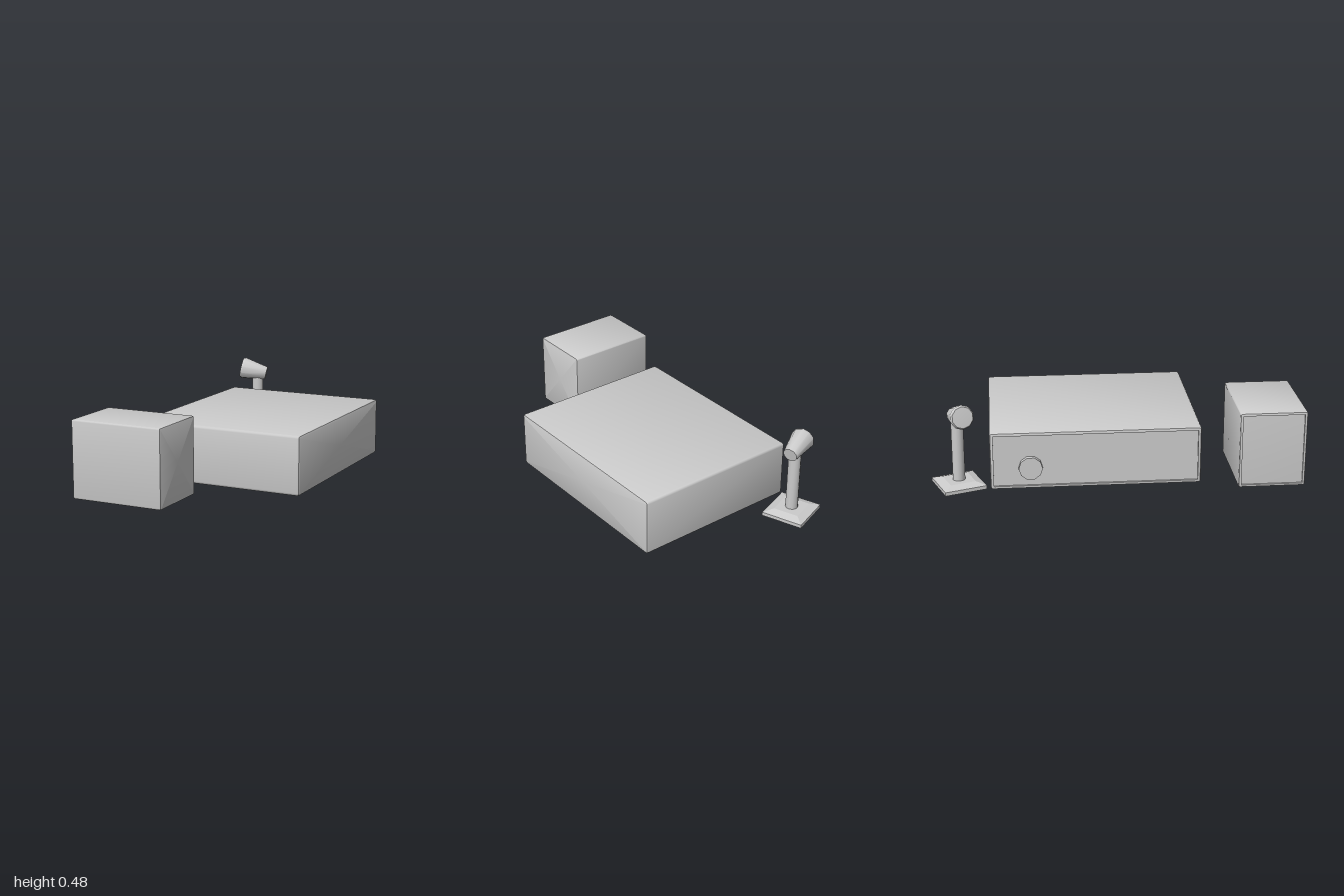
import * as THREE from 'three';
import { toCreasedNormals } from 'three/addons/utils/BufferGeometryUtils.js';

const material = new THREE.MeshStandardMaterial({ color: 0xcccccc });

function add(parent, geometry, name, x = 0, y = 0, z = 0) {
  const mesh = new THREE.Mesh(geometry, material);
  mesh.name = name;
  mesh.position.set(x, y, z);
  parent.add(mesh);
  return mesh;
}

// One rounded-rectangle loop in the y-z plane, counter-clockwise about +x
function roundedLoop(x, halfY, halfZ, radius) {
  const points = [];
  for (let corner = 0; corner < 4; corner++) {
    const sy = corner === 0 || corner === 3 ? 1 : -1;
    const sz = corner < 2 ? 1 : -1;
    for (let k = 0; k <= 3; k++) {
      const a = (corner + k / 3) * Math.PI / 2;
      points.push([
        x,
        sy * (halfY - radius) + radius * Math.cos(a),
        sz * (halfZ - radius) + radius * Math.sin(a),
      ]);
    }
  }
  return points;
}

// Soft-edged case with a shallow recessed panel in its -x face
function caseGeometry(length, height, depth, radius, rim, recess) {
  const x0 = -length / 2, x1 = length / 2, r = radius;
  const bevel = r * 0.3;
  // [x, inset from the outer walls]
  const profile = [
    [x0 + recess, null], [x0 + recess, rim], [x0, rim], [x0, r],
    [x0 + bevel, bevel], [x0 + r, 0], [x1 - r, 0], [x1 - bevel, bevel], [x1, r], [x1, null],
  ];
  const loops = profile.map(([x, inset]) => inset === null
    ? Array.from({ length: 16 }, () => [x, 0, 0])
    : roundedLoop(x, height / 2 - inset, depth / 2 - inset, Math.max(r - inset, 0.002)));
  const positions = [];
  for (let i = 0; i < loops.length - 1; i++) {
    for (let j = 0; j < 16; j++) {
      const n = (j + 1) % 16;
      const a = loops[i][j], b = loops[i][n], c = loops[i + 1][n], d = loops[i + 1][j];
      if (i > 0) positions.push(...a, ...b, ...d);
      if (i < loops.length - 2) positions.push(...b, ...c, ...d);
    }
  }
  const geometry = new THREE.BufferGeometry();
  geometry.setAttribute('position', new THREE.Float32BufferAttribute(positions, 3));
  return toCreasedNormals(geometry, 0.7);
}

export function createModel() {
  const model = new THREE.Group();

  // Wide case with a round knob on its panel
  const wideCase = new THREE.Group();
  wideCase.name = 'wideCase';
  wideCase.position.set(0.042, 0.16, -0.115);
  add(wideCase, caseGeometry(0.945, 0.32, 1.13, 0.014, 0.018, 0.012), 'wideCaseBody');
  const knobShape = new THREE.CylinderGeometry(0.064, 0.064, 0.035, 10);
  const knob = add(wideCase, toCreasedNormals(knobShape, 0.8), 'knob', -0.4695, -0.04, -0.35);
  knob.rotation.z = Math.PI / 2;
  model.add(wideCase);

  // Small, taller case in front
  add(model, caseGeometry(0.52, 0.42, 0.36, 0.01, 0.015, 0.01), 'smallCase', -0.255, 0.21, 0.82);

  // Stand: square plate, low pyramid step and round pole
  const stand = new THREE.Group();
  stand.name = 'stand';
  stand.position.set(-0.345, 0, -0.848);
  stand.rotation.y = THREE.MathUtils.degToRad(20);
  add(stand, new THREE.BoxGeometry(0.232, 0.02, 0.232), 'basePlate', 0, 0.01, 0);
  const step = new THREE.CylinderGeometry(0.14 / Math.SQRT2, 0.232 / Math.SQRT2, 0.016, 4);
  step.rotateY(Math.PI / 4);
  add(stand, toCreasedNormals(step, 0.1), 'baseStep', 0, 0.028, 0);
  const pole = new THREE.CylinderGeometry(0.034, 0.034, 0.345, 12);
  add(stand, toCreasedNormals(pole, 0.8), 'pole', 0, 0.2025, 0);
  model.add(stand);

  // Tapered head, wide end raised towards -x
  const tail = new THREE.Vector3(-0.293, 0.385, -0.864);
  const axis = new THREE.Vector3(-0.435, 0.418, -0.815).sub(tail);
  const length = axis.length();
  const headProfile = [[0, 0], [0.04, 0], [0.066, length - 0.01], [0.058, length + 0.005], [0, length + 0.008]]
    .map(([r, y]) => new THREE.Vector2(r, y));
  const headShape = new THREE.LatheGeometry(headProfile, 10);
  const head = add(model, toCreasedNormals(headShape, 0.7), 'head', tail.x, tail.y, tail.z);
  head.quaternion.setFromUnitVectors(new THREE.Vector3(0, 1, 0), axis.normalize());

  return model;
}
